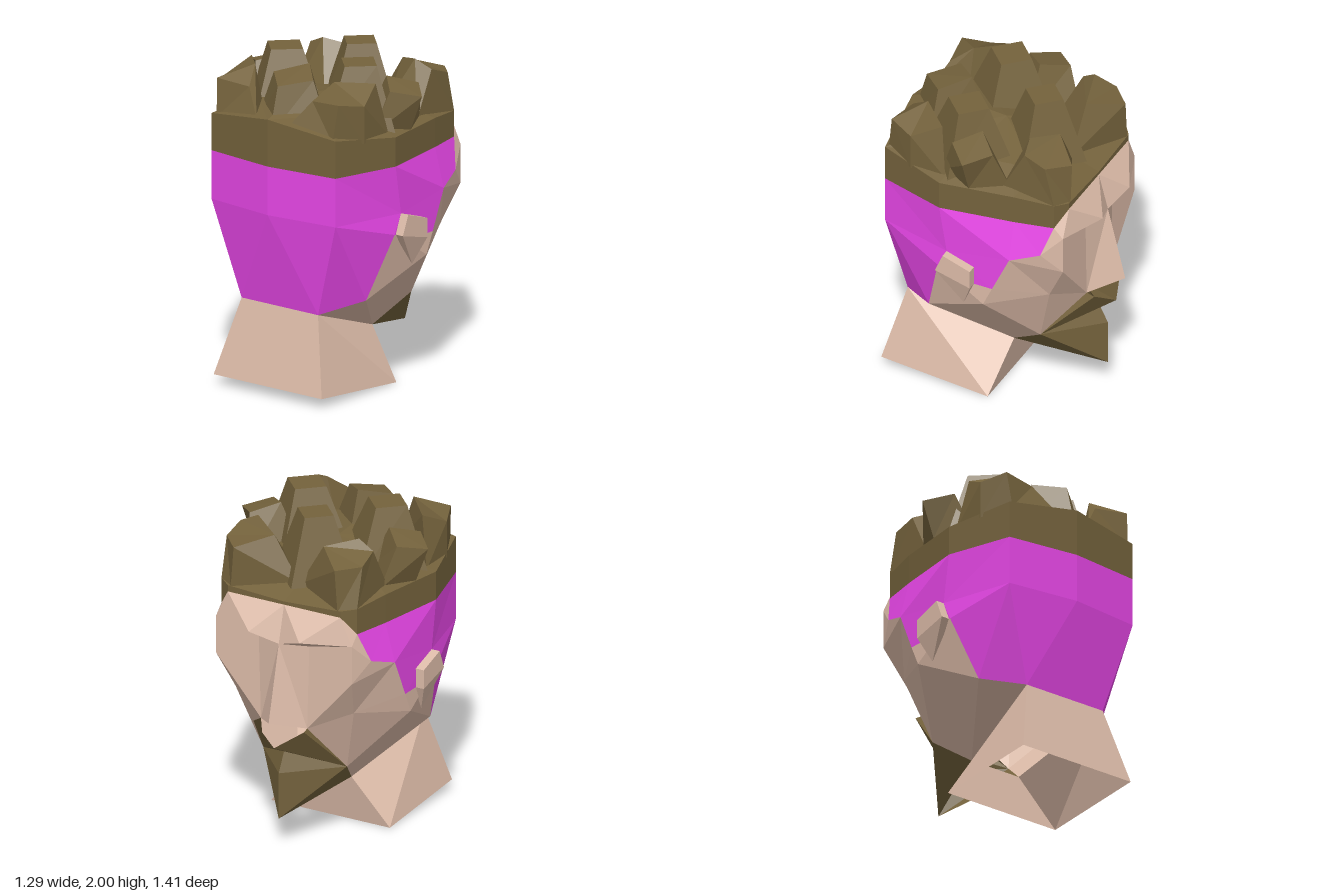
import * as THREE from 'three';

const paint = (name, color) => {
  const m = new THREE.MeshStandardMaterial({ color, flatShading: true, side: THREE.DoubleSide });
  m.name = name;
  return m;
};

// Faceted surface from named points; each face is a fan, mirrored in x
function facets(name, pts, faces, mat) {
  const pos = [];
  for (const s of [1, -1]) {
    for (const f of faces) {
      const ids = f.split(' ');
      for (let i = 1; i < ids.length - 1; i++) {
        const tri = [ids[0], ids[i], ids[i + 1]];
        if (s < 0) tri.reverse();
        for (const id of tri) pos.push(pts[id][0] * s, pts[id][1], pts[id][2]);
      }
    }
  }
  const g = new THREE.BufferGeometry();
  g.setAttribute('position', new THREE.Float32BufferAttribute(pos, 3));
  g.computeVertexNormals();
  const mesh = new THREE.Mesh(g, mat);
  mesh.name = name;
  return mesh;
}

export function createModel() {
  const skin = paint('skin', 0xdcbba8);
  const wrap = paint('magenta wrap', 0xe646e6);
  const hairMat = paint('brown hair', 0x74623c);
  const head = new THREE.Group();
  head.name = 'head';

  // Points of the +x half; the face looks toward -z
  const P = {
    // back of the head and wrap
    b0: [0, 1.42, 0.705], b1: [0.47, 1.42, 0.65], b2: [0.59, 1.42, 0.23], b3: [0.52, 1.42, -0.23], b4: [0.47, 1.42, -0.47],
    c0: [0, 1.12, 0.705], c1: [0.47, 1.12, 0.65], c2: [0.59, 1.12, 0.18],
    d0: [0, 0.53, 0.59], d1: [0.29, 0.53, 0.59], q: [0.47, 0.6, 0.36], r: [0.59, 1.0, 0.24],
    // edge between wrap and cheek
    m2: [0.53, 1.24, -0.41], m3: [0.585, 1.18, -0.23], m4: [0.59, 0.94, -0.12], m5: [0.59, 0.94, 0],
    // face
    f0: [0, 1.53, -0.53], f1: [0.39, 1.53, -0.53], a1: [0.47, 1.36, -0.53], a2: [0.47, 1.12, -0.53],
    br: [0.175, 1.36, -0.645], bc: [0, 1.3, -0.59], e: [0.175, 1.3, -0.53], n: [0.16, 0.77, -0.53],
    tip: [0, 0.83, -0.705], n0: [0, 0.77, -0.53], k: [0.41, 0.88, -0.41], p: [0.59, 0.81, -0.06],
    j: [0.29, 0.47, -0.29], ch: [0.18, 0.3, -0.06], ch0: [0, 0.3, -0.06],
    // beard and moustache
    u: [0.175, 0.77, -0.59], mo: [0, 0.65, -0.645], lip: [0, 0.59, -0.53], be: [0, 0.47, -0.59], bt: [0, 0.18, -0.59],
    // neck
    t0: [0, 0.06, 0.705], t1: [0.41, 0.06, 0.705], w1: [0.41, 0, 0], w0: [0, 0, 0],
    // ear: outer rim (o) and inner rim (i)
    o1: [0.645, 1.12, 0.18], o2: [0.645, 1.06, 0], o3: [0.645, 0.94, 0], o4: [0.645, 1.0, 0.23],
    i1: [0.58, 1.12, 0.18], i2: [0.58, 1.06, 0], i3: [0.58, 0.94, 0], i4: [0.58, 1.0, 0.23], lobe: [0.585, 0.78, 0.07],
  };

  head.add(facets('headWrap', P, [
    'b0 c0 c1 b1', 'b1 c1 c2 b2', 'c0 d0 d1', 'c0 d1 c1', 'c1 d1 q', 'c1 q r', 'c1 r c2',
    'b2 c2 m3', 'b2 m3 b3', 'c2 r m5', 'c2 m5 m4 m3', 'b3 m3 m2', 'b3 m2 b4',
  ], wrap));

  head.add(facets('face', P, [
    'b4 m2 a1', 'b4 a1 f1', 'm2 a2 a1', 'm2 m3 a2', 'm3 m4 k', 'm3 k a2', 'm4 p k', 'm5 p m4', 'r p m5', 'r q p',
    'f0 f1 br', 'f0 br bc', 'f1 a1 br', 'br a1 e', 'br e bc',
    'a1 a2 e', 'e a2 n', 'a2 k n', 'k j n', 'k p j', 'p ch j', 'p q ch', 'q d1 ch',
  ], skin));

  head.add(facets('nose', P, ['bc e n tip', 'tip n n0'], skin));
  head.add(facets('ears', P, [
    'o1 o4 o3 o2', 'o1 o2 i2 i1', 'o2 o3 i3 i2', 'o4 o1 i1 i4', 'o3 o4 lobe', 'o4 i4 lobe', 'o3 lobe i3',
  ], skin));
  // Neck is open underneath
  head.add(facets('neck', P, ['d0 t0 t1 d1', 'd1 t1 w1', 'd1 w1 ch', 'ch w1 w0 ch0'], skin));

  // Beard shells, open between the moustache halves and under the chin
  head.add(facets('moustache', P, ['u j mo', 'u n j', 'mo j lip'], hairMat));
  head.add(facets('beard', P, ['lip j be', 'be j bt', 'j ch bt'], hairMat));

  // Hair base: a band over the wrap that closes in a low faceted crown
  // Each plan point is x, z, lower edge, upper edge
  const plan = [
    [0, 0.705, 1.42, 1.71], [0.47, 0.65, 1.42, 1.65], [0.59, 0.23, 1.42, 1.6], [0.52, -0.23, 1.42, 1.6],
    [0.47, -0.47, 1.42, 1.58], [0.39, -0.53, 1.53, 1.57], [0, -0.53, 1.53, 1.55],
  ];
  const H = { top: [0, 1.76, 0.08] };
  plan.forEach(([x, z, lo, hi], i) => {
    H['a' + i] = [x, lo, z];
    H['b' + i] = [x, hi, z];
    H['c' + i] = [x * 0.62, hi + 0.08, 0.08 + (z - 0.08) * 0.62];
  });
  const crown = [];
  for (let i = 0; i < plan.length - 1; i++) {
    const n = i + 1;
    crown.push(`a${i} a${n} b${n} b${i}`, `b${i} b${n} c${n} c${i}`, `c${i} c${n} top`);
  }
  head.add(facets('hairCrown', H, crown, hairMat));

  // Mirrored corner curls: an upper loop joined to a lower loop of the same length
  function cornerCurls(name, upper, lower) {
    const pts = {}, faces = [upper.map((_, i) => 'u' + i).join(' ')];
    upper.forEach((p, i) => {
      const n = (i + 1) % upper.length;
      pts['u' + i] = p;
      pts['l' + i] = lower[i];
      faces.push(`u${i} l${i} l${n}`, `u${i} l${n} u${n}`);
    });
    head.add(facets(name, pts, faces, hairMat));
  }
  cornerCurls('hairFrontCurls',
    [[0.17, 1.88, -0.36], [0.35, 1.93, -0.25], [0.46, 1.88, -0.27], [0.47, 1.83, -0.41], [0.35, 1.82, -0.53]],
    [[0, 1.6, -0.35], [0.235, 1.66, -0.12], [0.47, 1.6, -0.12], [0.47, 1.58, -0.47], [0.37, 1.56, -0.53]]);
  cornerCurls('hairBackCurls',
    [[0.3, 1.94, 0.45], [0.24, 1.84, 0.58], [0.46, 1.86, 0.61], [0.53, 1.83, 0.45], [0.47, 1.92, 0.27]],
    [[0.235, 1.68, 0.45], [0.12, 1.68, 0.66], [0.44, 1.63, 0.64], [0.53, 1.6, 0.45], [0.53, 1.6, 0.22]]);

  // Crown curls: blunt four-sided pyramids that meet in valleys
  function curl(x, y, z, rTop, rBase, lean = 1, tilt = 0) {
    const floor = 1.6;
    const g = new THREE.CylinderGeometry(rTop, rBase, y - floor, 4, 1);
    const a = g.attributes.position;
    for (let i = 0; i < a.count; i++) {
      const isTop = a.getY(i) > 0;
      const px = a.getX(i) + x * (isTop ? 1 : lean);
      const pz = a.getZ(i) + z;
      // tops slope down away from the middle of the head
      const drop = isTop ? tilt * (Math.hypot(px, pz - 0.08) - Math.hypot(x, z - 0.08)) : 0;
      const limit = isTop ? 0.645 : 0.56;
      a.setXYZ(i, THREE.MathUtils.clamp(px, -limit, limit), isTop ? y - drop : floor, Math.min(pz, 0.69));
    }
    const mesh = new THREE.Mesh(g, hairMat);
    mesh.name = 'hairCurl';
    head.add(mesh);
  }
  for (const s of [1, -1]) {
    curl(s * 0.28, 2.0, 0.19, 0.135, 0.31, 0.95);
    curl(s * 0.51, 1.86, 0.05, 0.135, 0.23, 0.88, 0.3);
  }
  curl(0, 2.0, -0.17, 0.125, 0.28);
  curl(0, 1.93, 0.46, 0.15, 0.28, 1, 0.25);
  return head;
}
